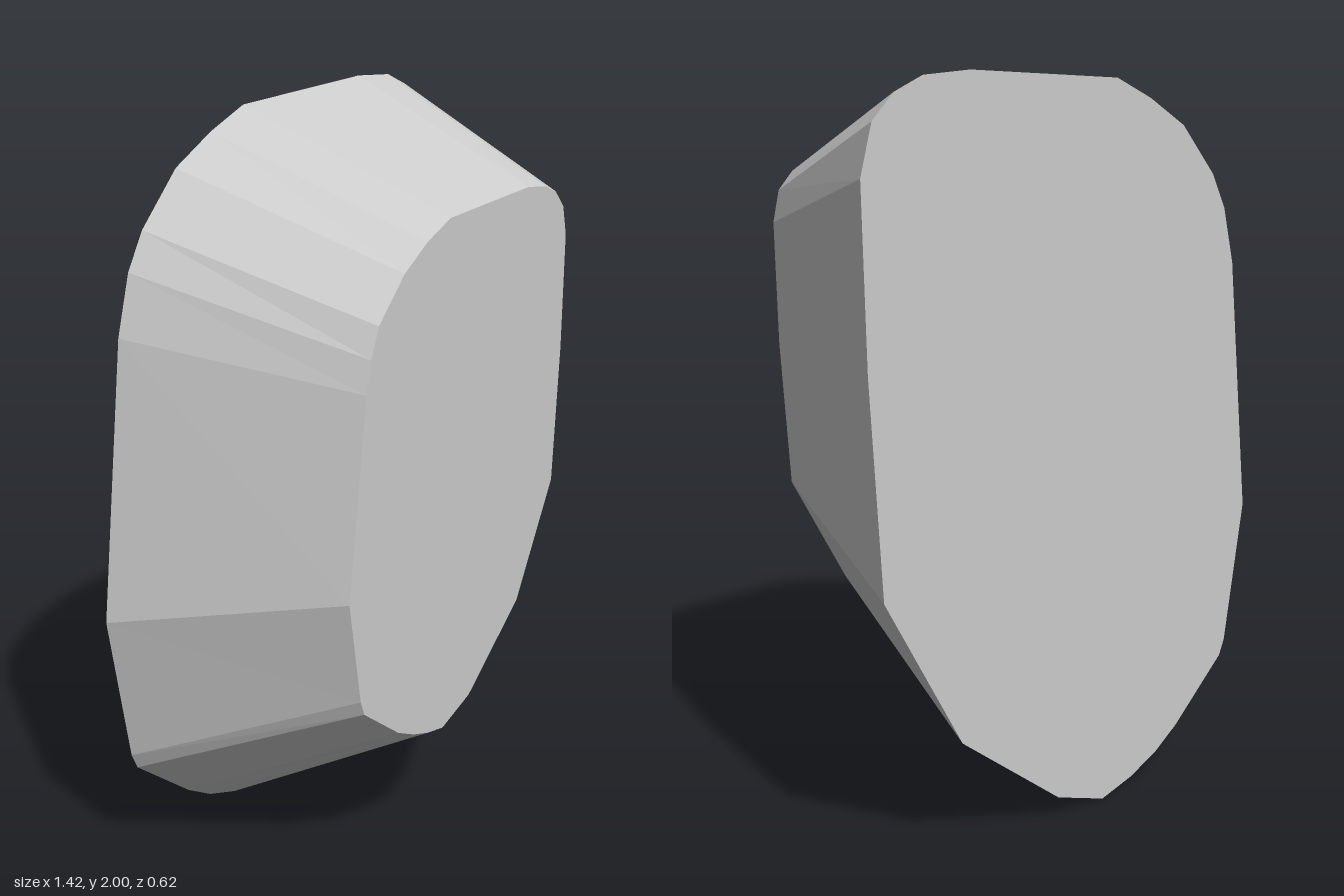
import * as THREE from 'three';

// Matching outlines, counter-clockwise from the lowest point
const backOutline = [
  [-0.12, 0], [0.06, 0.07], [0.415, 0.35], [0.665, 0.79], [0.70, 1.34], [0.71, 1.78],
  [0.675, 1.90], [0.61, 1.96], [0.525, 1.993], [0.38, 2], [-0.125, 1.965],
  [-0.255, 1.91], [-0.39, 1.835], [-0.52, 1.70], [-0.575, 1.605], [-0.62, 1.45],
  [-0.715, 0.73], [-0.65, 0.325], [-0.63, 0.28], [-0.435, 0.12], [-0.345, 0.065], [-0.24, 0.025],
];
const frontOutline = [
  [-0.10, 0.36], [0.03, 0.405], [0.275, 0.60], [0.45, 0.91], [0.475, 1.29], [0.48, 1.605],
  [0.46, 1.685], [0.415, 1.73], [0.36, 1.75], [0.27, 1.76], [-0.10, 1.733],
  [-0.20, 1.69], [-0.295, 1.63], [-0.40, 1.525], [-0.43, 1.45], [-0.45, 1.37],
  [-0.52, 0.865], [-0.475, 0.59], [-0.46, 0.55], [-0.31, 0.435], [-0.24, 0.40], [-0.17, 0.375],
];
const HALF_DEPTH = 0.31;

function geometryFrom(positions) {
  const geometry = new THREE.BufferGeometry();
  geometry.setAttribute('position', new THREE.Float32BufferAttribute(positions, 3));
  geometry.computeVertexNormals(); // unshared corners give flat facets
  return geometry;
}

// Flat convex face, fanned from its first corner
function capGeometry(outline, z, flip) {
  const positions = [];
  for (let i = 1; i < outline.length - 1; i++) {
    const corners = flip ? [0, i + 1, i] : [0, i, i + 1];
    for (const c of corners) positions.push(...outline[c], z);
  }
  return geometryFrom(positions);
}

// Sloping wall joining the two outlines
function wallGeometry() {
  const positions = [];
  const count = backOutline.length;
  for (let i = 0; i < count; i++) {
    const j = (i + 1) % count;
    const a = [...backOutline[i], -HALF_DEPTH];
    const b = [...backOutline[j], -HALF_DEPTH];
    const c = [...frontOutline[j], HALF_DEPTH];
    const d = [...frontOutline[i], HALF_DEPTH];
    positions.push(...a, ...b, ...c, ...a, ...c, ...d);
  }
  return geometryFrom(positions);
}

export function createModel() {
  const grey = new THREE.MeshStandardMaterial({ color: 0xcccccc });
  grey.name = 'light grey';

  const group = new THREE.Group();
  group.name = 'taperedBlock';
  const add = (name, geometry) => {
    const mesh = new THREE.Mesh(geometry, grey);
    mesh.name = name;
    group.add(mesh);
  };

  add('slopingWall', wallGeometry());
  add('frontFace', capGeometry(frontOutline, HALF_DEPTH, false));
  add('backFace', capGeometry(backOutline, -HALF_DEPTH, true));
  return group;
}
